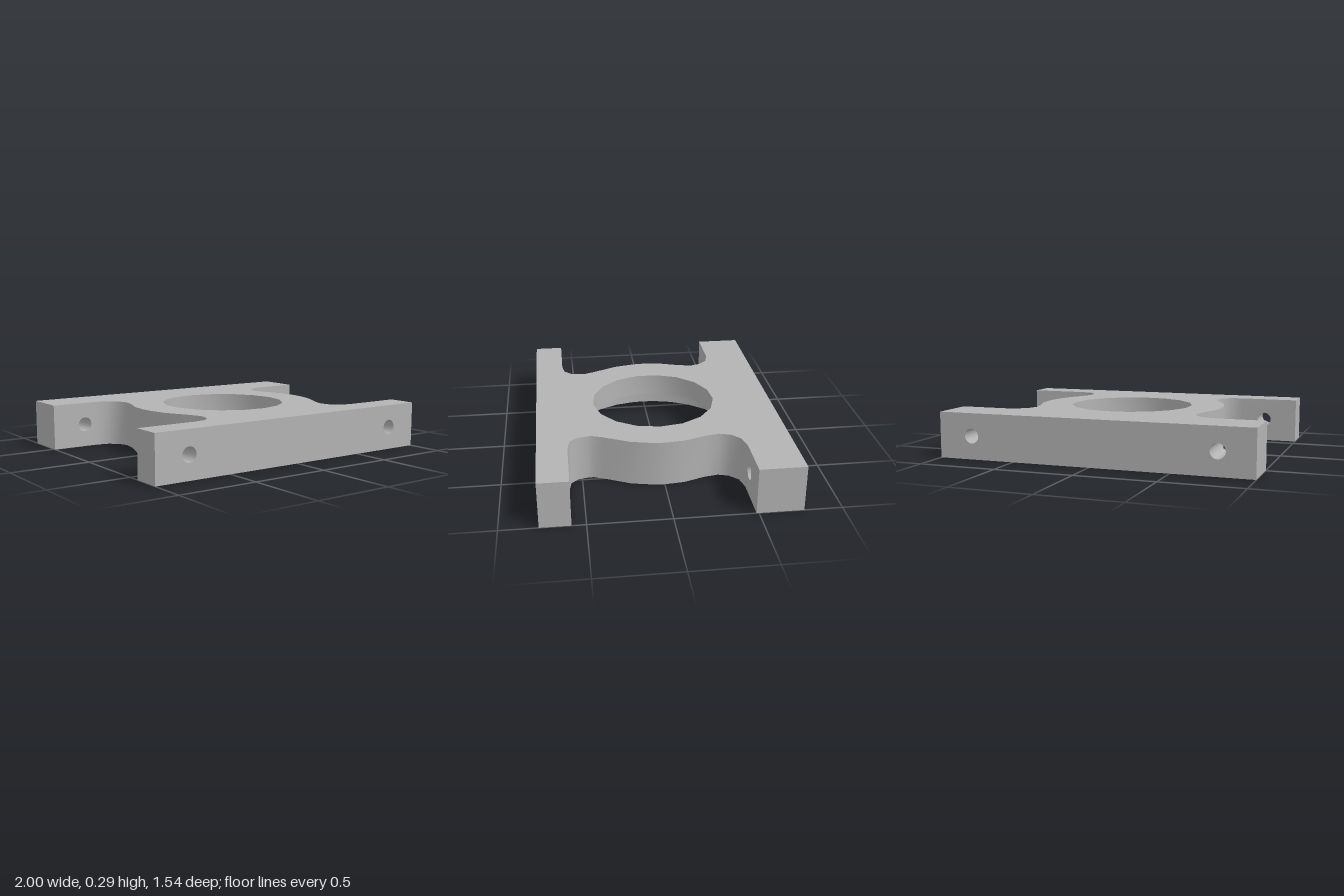
import * as THREE from 'three';
import { mergeGeometries, toCreasedNormals } from 'three/addons/utils/BufferGeometryUtils.js';

const H = 0.29;                                   // plate thickness
const FRONT = 0.77, BACK = -0.77;
const SCREW = { x: 0.78, y: 0.147, r: 0.047, n: 16 };
// waist outline of one side as (x, z), from back bar to front bar
const WAIST = [
  [0.70, -0.485], [0.615, -0.465], [0.56, -0.41], [0.54, -0.345], [0.555, -0.26], [0.603, -0.12],
  [0.615, 0], [0.61, 0.07], [0.58, 0.205], [0.50, 0.37], [0.477, 0.43], [0.477, 0.46],
  [0.492, 0.525], [0.535, 0.57], [0.62, 0.585],
];
// stepped bore, from top to bottom
const STEPS = [
  { r: 0.4, n: 17, y0: 0.15, y1: H },
  { r: 0.533, n: 25, y0: 0.1, y1: 0.15 },
  { r: 0.585, n: 27, y0: 0, y1: 0.1 },
];

function circle(r, n, cx = 0, cy = 0) {
  return Array.from({ length: n }, (_, i) => {
    const a = (i / n) * Math.PI * 2;
    return new THREE.Vector2(cx + r * Math.cos(a), cy + r * Math.sin(a));
  });
}

function shapeOf(points, holes = []) {
  const shape = new THREE.Shape(points);
  holes.forEach((h) => shape.holes.push(new THREE.Path(h)));
  return shape;
}

// horizontal face from (x, z) points, facing up or down
function level(points, hole, y, up) {
  const s = up ? -1 : 1;
  const g = new THREE.ShapeGeometry(shapeOf(points.map((p) => new THREE.Vector2(p.x, s * p.y)), [hole]));
  return g.rotateX(s * Math.PI / 2).translate(0, y, 0);
}

// upright bar face at z, pierced by the screw holes it covers
function barFace(x0, x1, z, forward) {
  const [a, b] = forward ? [x0, x1] : [-x1, -x0];
  const corners = [[a, 0], [b, 0], [b, H], [a, H]].map((c) => new THREE.Vector2(...c));
  const holes = [-SCREW.x, SCREW.x].filter((x) => x > a && x < b)
    .map((x) => circle(SCREW.r, SCREW.n, x, SCREW.y));
  const g = new THREE.ShapeGeometry(shapeOf(corners, holes));
  return g.rotateY(forward ? 0 : Math.PI).translate(0, 0, z);
}

// upright strip following (x, z) points
function strip(points) {
  const g = new THREE.PlaneGeometry(1, H, points.length - 1, 1);
  const pos = g.attributes.position;
  for (let i = 0; i < pos.count; i++) {
    const [x, z] = points[i % points.length];
    pos.setXYZ(i, x, pos.getY(i) + H / 2, z);
  }
  return g;
}

export function createModel() {
  const group = new THREE.Group();
  const grey = new THREE.MeshStandardMaterial({ color: 0xb3b3b3, side: THREE.DoubleSide });
  grey.name = 'machined grey';

  const add = (name, parts) => {
    const geometry = toCreasedNormals(mergeGeometries(parts), 0.65);
    const mesh = new THREE.Mesh(geometry, grey);
    mesh.name = name;
    group.add(mesh);
  };

  // full plan outline
  const right = [[1, BACK], [1, -0.485], ...WAIST, [1, 0.585], [1, FRONT]];
  const left = right.map(([x, z]) => [-x, z]).reverse();
  const outline = [...right, ...left].map((p) => new THREE.Vector2(...p));

  add('topFace', [level(outline, circle(STEPS[0].r, STEPS[0].n), H, true)]);
  add('bottomFace', [level(outline, circle(STEPS[2].r, STEPS[2].n), 0, false)]);

  // bars and the curved waist between them
  const sides = [barFace(-1, 1, FRONT, true), barFace(-1, 1, BACK, false)];
  for (const s of [1, -1]) {
    const span = (x) => (s > 0 ? [x, 1] : [-1, -x]);
    sides.push(barFace(...span(0.62), 0.585, false), barFace(...span(0.70), -0.485, true));
    const mirrored = (pts) => {
      const out = pts.map(([x, z]) => [s * x, z]);
      return s > 0 ? out.reverse() : out;
    };
    sides.push(strip(mirrored(WAIST)));
    sides.push(strip(mirrored([[1, BACK], [1, -0.485]])), strip(mirrored([[1, 0.585], [1, FRONT]])));
  }
  add('barsAndWaist', sides);

  // stepped bore walls and the ledges between them
  const bore = STEPS.map(({ r, n, y0, y1 }) =>
    new THREE.CylinderGeometry(r, r, y1 - y0, n, 1, true, Math.PI / 2).translate(0, (y0 + y1) / 2, 0));
  for (let i = 0; i < 2; i++) {
    const inner = STEPS[i], outer = STEPS[i + 1];
    bore.push(level(circle(outer.r, outer.n), circle(inner.r, inner.n), outer.y1, false));
  }
  add('steppedBore', bore);

  // screw hole walls through both bars
  const screws = [];
  for (const x of [-SCREW.x, SCREW.x]) {
    for (const [z0, z1] of [[BACK, -0.485], [0.585, FRONT]]) {
      screws.push(new THREE.CylinderGeometry(SCREW.r, SCREW.r, z1 - z0, SCREW.n, 1, true)
        .rotateX(Math.PI / 2).translate(x, SCREW.y, (z0 + z1) / 2));
    }
  }
  add('screwHoles', screws);

  return group;
}
